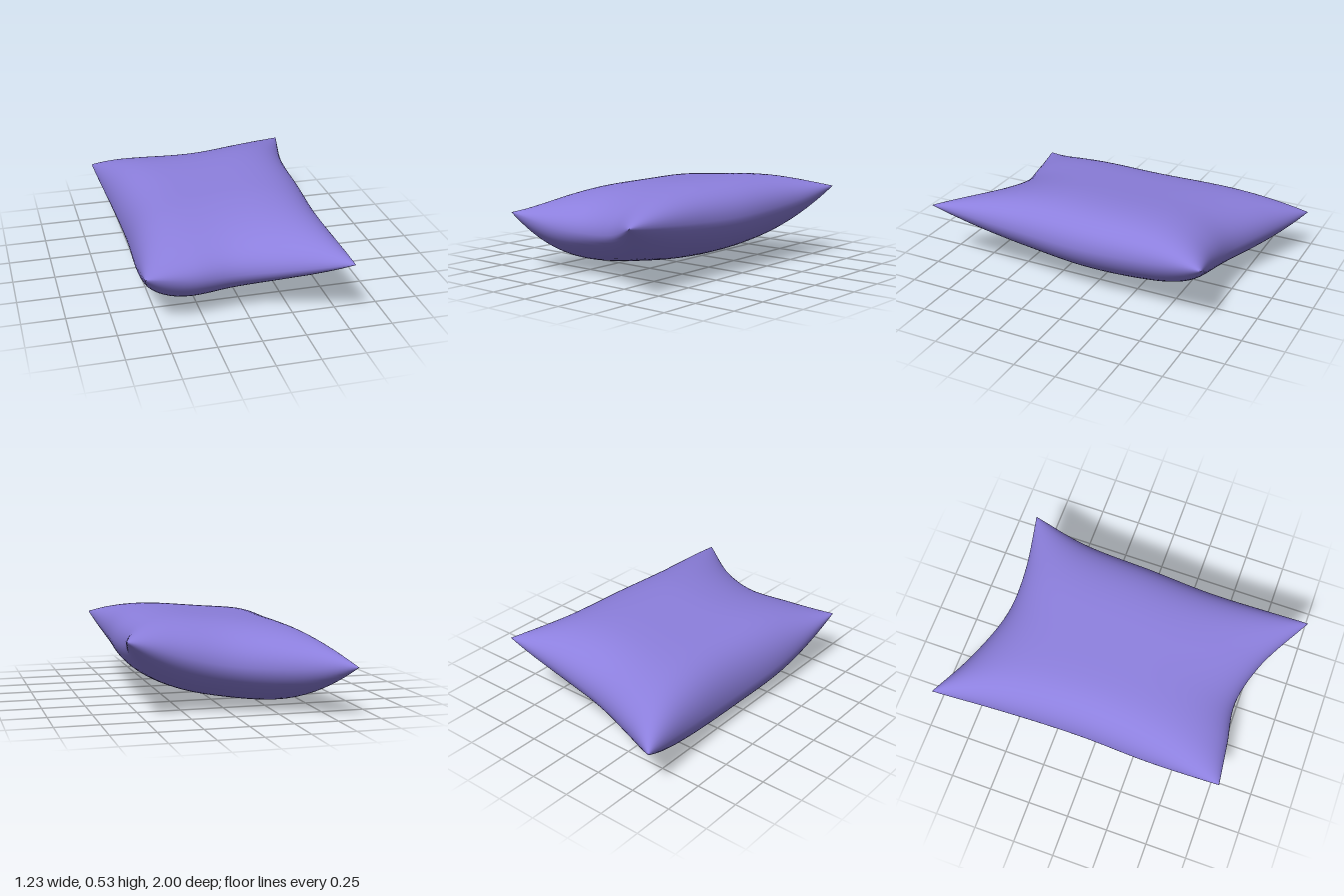
import * as THREE from 'three';
import { ParametricGeometry } from 'three/addons/geometries/ParametricGeometry.js';
import { mergeGeometries, mergeVertices } from 'three/addons/utils/BufferGeometryUtils.js';

const curve = (...pts) => new THREE.CatmullRomCurve3(pts.map((p) => new THREE.Vector3(...p)));

// Seam along the four edges; neighbours share their corner points
const backRight = [-0.615, 0.28, -1], backLeft = [0.615, 0.435, -0.79];
const frontRight = [-0.598, 0.34, 0.8], frontLeft = [0.515, 0.39, 1];
const back = curve(backRight, [-0.34, 0.26, -0.865], [0, 0.27, -0.755], [0.28, 0.33, -0.745], backLeft);
const front = curve(frontRight, [-0.33, 0.28, 0.77], [-0.07, 0.265, 0.737], [0.2, 0.295, 0.81], frontLeft);
const right = curve(backRight, [-0.57, 0.22, -0.55], [-0.55, 0.185, -0.1], [-0.573, 0.22, 0.35], frontRight);
const left = curve(backLeft, [0.555, 0.37, -0.45], [0.537, 0.34, 0], [0.512, 0.345, 0.4], frontLeft);

// Surface spanned between the four seam curves
function seamSurface(u, v, target) {
  const corners = [[backRight, (1 - u) * (1 - v)], [backLeft, u * (1 - v)], [frontRight, (1 - u) * v], [frontLeft, u * v]];
  target.set(0, 0, 0)
    .addScaledVector(back.getPoint(u), 1 - v).addScaledVector(front.getPoint(u), v)
    .addScaledVector(right.getPoint(v), 1 - u).addScaledVector(left.getPoint(v), u);
  for (const [c, w] of corners) target.addScaledVector(new THREE.Vector3(...c), -w);
}

// Stuffing: a gently tilted level reached in the middle, and how full the rim is across x and z
const TOP = { level: 0.508, tilt: 0.09, fullX: 5, fullZ: 4 };
const BOTTOM = { level: 0.024, tilt: 0.16, fullX: 2.4, fullZ: 2 };

// One half of the cover, with rows packed closer together near the seam
function half(side) {
  const ease = (t) => 0.5 - 0.5 * Math.cos(Math.PI * t);
  return new ParametricGeometry((s, t, target) => {
    const u = ease(side === TOP ? 1 - s : s), v = ease(t);
    seamSurface(u, v, target);
    const a = Math.abs(2 * u - 1), b = Math.abs(2 * v - 1);
    const fill = Math.sqrt(Math.max(0, (1 - a ** side.fullX) * (1 - b ** side.fullZ)));
    target.y += (side.level + side.tilt * target.x - target.y) * fill;
  }, 40, 48);
}

export function createModel() {
  const group = new THREE.Group();
  group.name = 'pillow';
  const fabric = new THREE.MeshStandardMaterial({ color: 0x8c7fdd });
  fabric.name = 'purple fabric';

  // Weld both halves along the seam for smooth shading
  let cover = mergeGeometries([half(TOP), half(BOTTOM)]);
  cover.deleteAttribute('normal');
  cover.deleteAttribute('uv');
  cover = mergeVertices(cover, 1e-4);
  cover.computeVertexNormals();

  const mesh = new THREE.Mesh(cover, fabric);
  mesh.name = 'pillowCover';
  group.add(mesh);
  return group;
}
